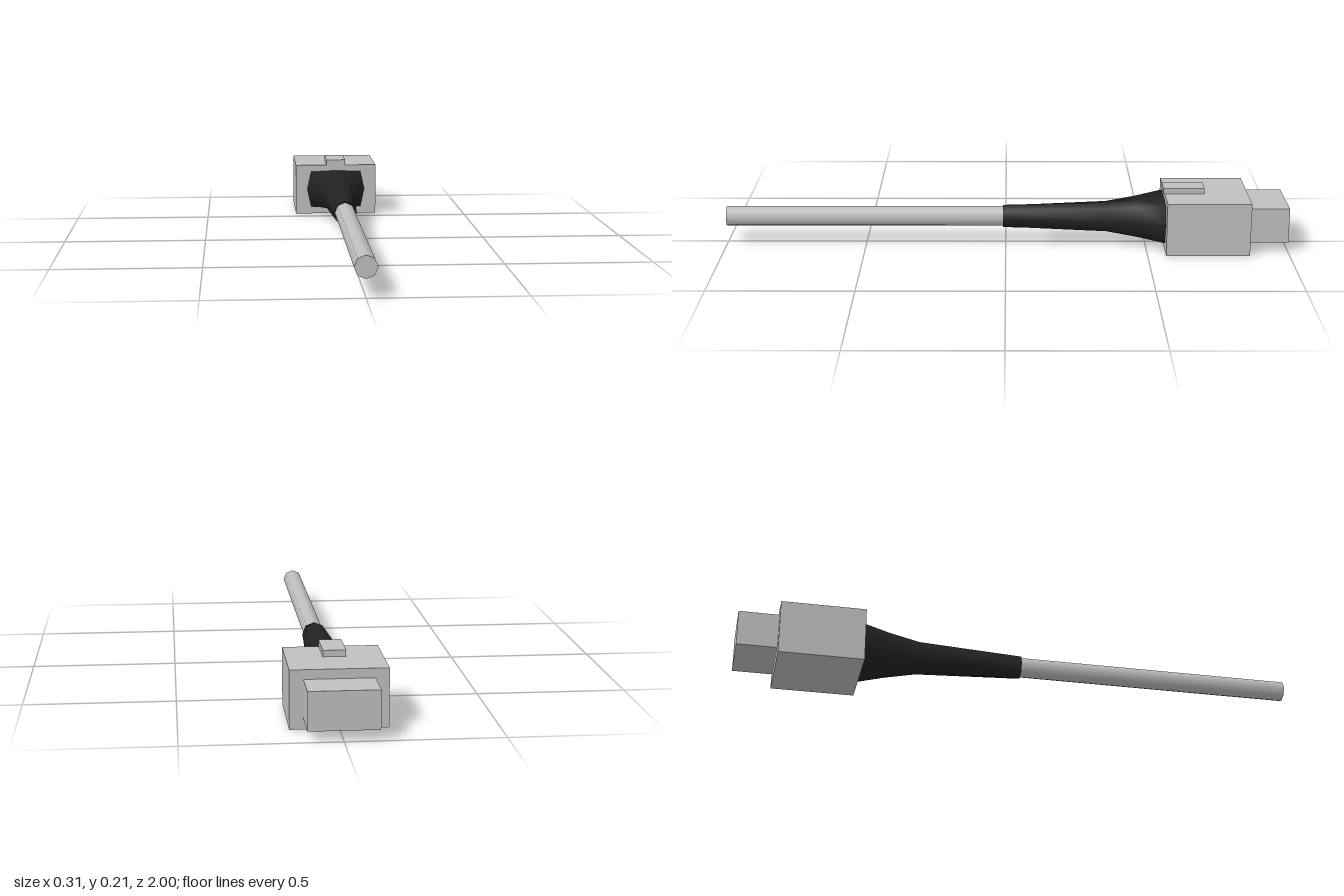
import * as THREE from 'three';

const AXIS_Y = 0.096; // height of the cable axis

export function createModel() {
  const model = new THREE.Group();
  const grey = new THREE.MeshStandardMaterial({ color: 0xc0c0c0 });
  grey.name = 'light grey plastic';
  const black = new THREE.MeshStandardMaterial({ color: 0x222222 });
  black.name = 'black rubber';

  const add = (name, geometry, material) => {
    const mesh = new THREE.Mesh(geometry, material);
    mesh.name = name;
    model.add(mesh);
    return mesh;
  };
  const addBox = (name, halfWidth, y0, y1, z0, z1) => {
    const mesh = add(name, new THREE.BoxGeometry(halfWidth * 2, y1 - y0, z1 - z0), grey);
    mesh.position.set(0, (y0 + y1) / 2, (z0 + z1) / 2);
  };

  // Connector body, plug tip and release latch
  addBox('housing', 0.156, 0, 0.191, -0.86, -0.565);
  addBox('plug', 0.112, 0.035, 0.16, -1, -0.86);
  addBox('latch', 0.037, 0.191, 0.212, -0.705, -0.56);

  // Eight-sided round cable
  const cable = add('cable', new THREE.CylinderGeometry(0.037, 0.037, 1.02, 8), grey);
  cable.rotation.x = Math.PI / 2;
  cable.position.set(0, AXIS_Y, 0.49);

  // Strain relief boot, lofted from a round end to a squarish end
  // Each section: z, half width, half height, corner x, corner y
  const sections = [
    [0.01, 0.042, 0.042, 0.03, 0.03],
    [-0.36, 0.06, 0.052, 0.046, 0.042],
    [-0.47, 0.083, 0.062, 0.07, 0.055],
    [-0.57, 0.113, 0.074, 0.098, 0.07],
  ];
  const positions = [];
  const index = [];
  sections.forEach(([z, w, h, cx, cy], i) => {
    const ring = [[w, 0], [cx, cy], [0, h], [-cx, cy], [-w, 0], [-cx, -cy], [0, -h], [cx, -cy]];
    ring.forEach(([x, y], j) => {
      positions.push(x, y, z);
      if (i === sections.length - 1) return;
      const a = i * 8 + j;
      const b = i * 8 + (j + 1) % 8;
      index.push(a, a + 8, b, b, a + 8, b + 8);
    });
  });
  const bootGeometry = new THREE.BufferGeometry();
  bootGeometry.setAttribute('position', new THREE.Float32BufferAttribute(positions, 3));
  bootGeometry.setIndex(index);
  bootGeometry.computeVertexNormals();
  add('strainReliefBoot', bootGeometry, black).position.y = AXIS_Y;

  // Narrow rim closing the boot around the cable
  add('bootRim', new THREE.RingGeometry(0.036, 0.042, 8), black).position.set(0, AXIS_Y, 0.01);

  return model;
}
